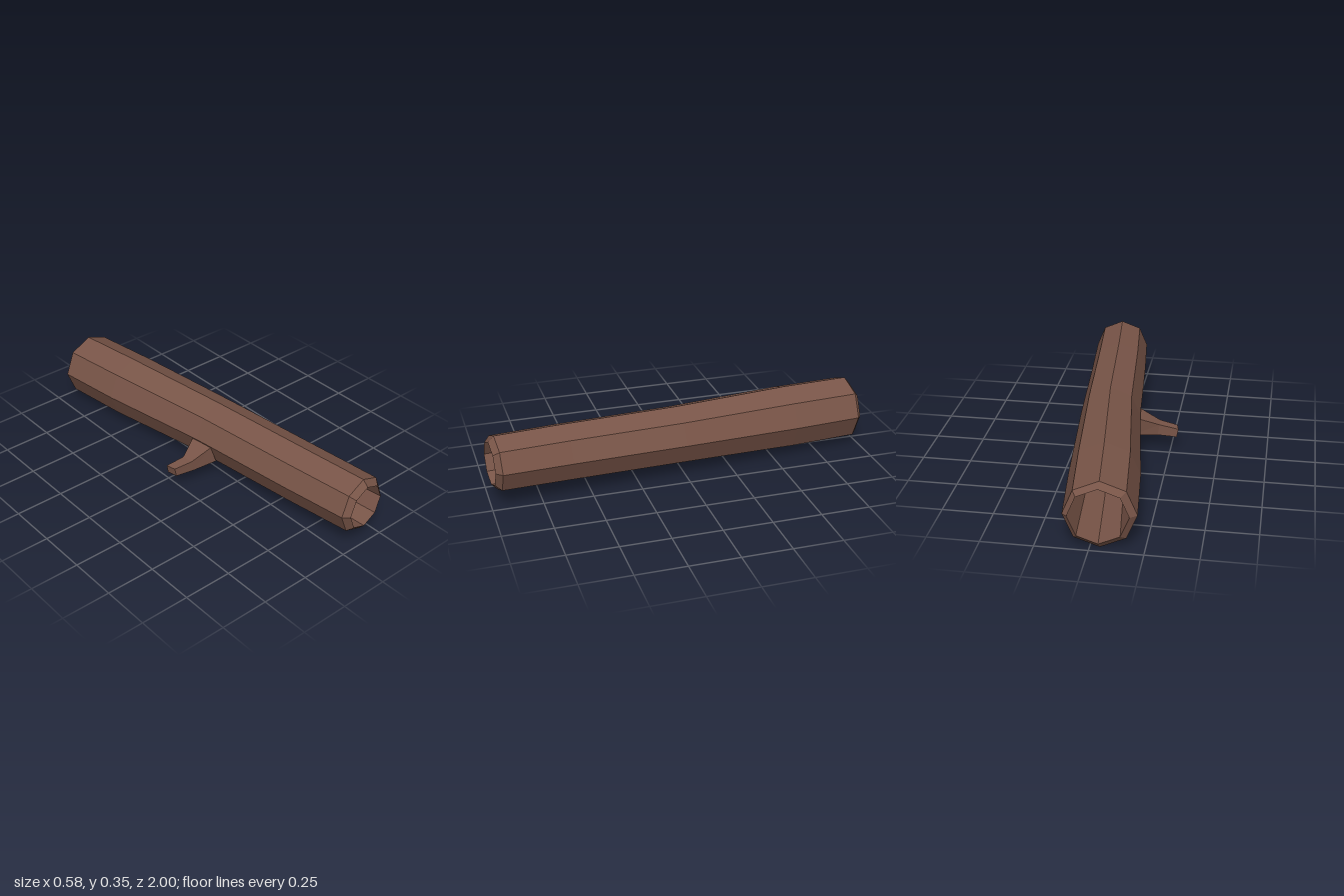
import * as THREE from 'three';

const SIDES = 8;
const YAW = 0.097; // sideways lean of the log's axis

// Skins a list of rings (arrays of [x, y, z]) with flat quads.
function loft(rings, { loop = false, cap = false } = {}) {
  const pos = [];
  const n = rings[0].length;
  const count = loop ? rings.length : rings.length - 1;
  for (let i = 0; i < count; i++) {
    const a = rings[i], b = rings[(i + 1) % rings.length];
    for (let j = 0; j < n; j++) {
      const k = (j + 1) % n;
      pos.push(...a[j], ...b[j], ...b[k], ...a[j], ...b[k], ...a[k]);
    }
  }
  if (cap) {
    const e = rings[rings.length - 1];
    for (let j = 1; j < n - 1; j++) pos.push(...e[0], ...e[j + 1], ...e[j]);
  }
  const g = new THREE.BufferGeometry();
  g.setAttribute('position', new THREE.Float32BufferAttribute(pos, 3));
  g.computeVertexNormals();
  return g;
}

// Octagonal ring square to the log's axis.
function ring([x, y, z, r]) {
  return Array.from({ length: SIDES }, (_, j) => {
    const t = (j / SIDES) * Math.PI * 2;
    return [x + r * Math.cos(t), y + r * Math.sin(t), z - YAW * r * Math.cos(t)];
  });
}

export function createModel() {
  const model = new THREE.Group();
  model.name = 'hollowLog';
  const bark = new THREE.MeshStandardMaterial({ color: 0x795548, flatShading: true });

  // Hollow trunk: bark front to back, bevelled rim, then the bore back to front
  const sections = [
    [0.145, 0.204, 0.957, 0.144],
    [0.112, 0.199, 0.61, 0.149],
    [0.064, 0.189, 0.02, 0.154],
    [-0.008, 0.176, -0.6, 0.17],
    [-0.046, 0.17, -0.962, 0.168],
    [-0.042, 0.17, -0.986, 0.139],
    [-0.008, 0.176, -0.6, 0.125],
    [0.064, 0.189, 0.02, 0.115],
    [0.112, 0.203, 0.61, 0.102],
    [0.147, 0.204, 0.986, 0.113],
  ];
  const trunk = new THREE.Mesh(loft(sections.map(ring), { loop: true }), bark);
  trunk.name = 'trunk';
  model.add(trunk);

  // Broken branch stub: four-sided, flared at the trunk
  const stub = new THREE.Mesh(loft([
    [[-0.085, 0.183, 0.0], [-0.078, 0.183, 0.13], [-0.045, 0.088, 0.135], [-0.055, 0.088, 0.0]],
    [[-0.19, 0.134, 0.047], [-0.185, 0.134, 0.108], [-0.175, 0.075, 0.108], [-0.18, 0.075, 0.047]],
    [[-0.29, 0.12, 0.037], [-0.279, 0.121, 0.088], [-0.269, 0.074, 0.088], [-0.281, 0.075, 0.037]],
  ], { cap: true }), bark);
  stub.name = 'branchStub';
  model.add(stub);

  return model;
}
